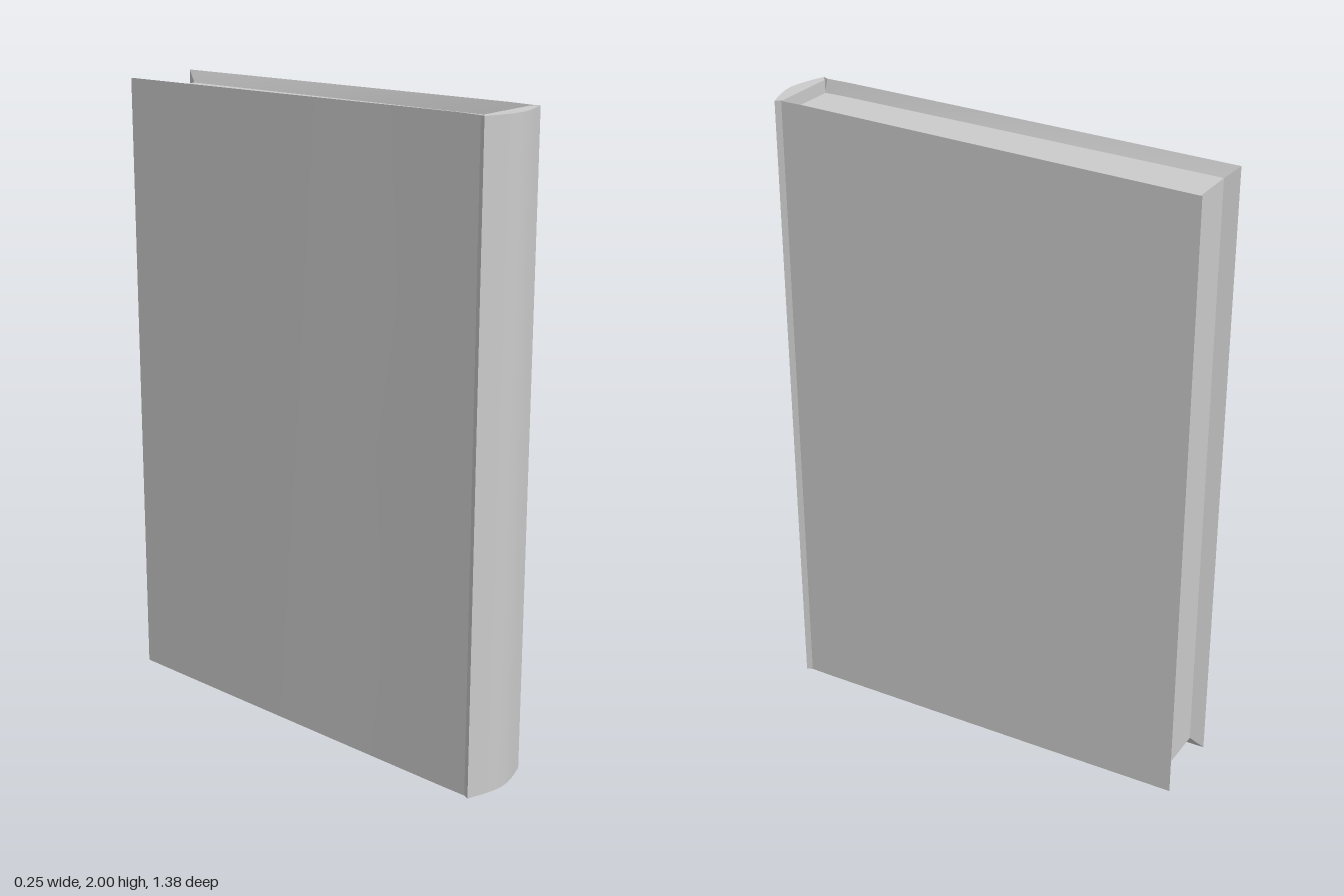
import * as THREE from 'three';
import { toCreasedNormals } from 'three/addons/utils/BufferGeometryUtils.js';

// Half outline of the cover seen from above, [x, z]: spine middle to hinge to fore edge
const SPINE = [[0, 0.695], [0.03, 0.692], [0.07, 0.682], [0.1, 0.672], [0.125, 0.663]];
const BOARD = [[0.125, 0.663], [0.117, 0.645], [0.117, 0.565], [0.12, 0.2], [0.123, -0.25], [0.125, -0.69]];
const PAGE_X = 0.105, PAGE_FRONT = 0.645, PAGE_BACK = -0.65, BEND = 0.565;

// Half heights, tapering slightly towards the fore edge
const taper = (z, front, back, zEnd) =>
  z >= BEND ? front : THREE.MathUtils.mapLinear(z, BEND, zEnd, front, back);
const coverH = (z) => taper(z, 1, 0.975, -0.69);
const pageH = (z) => taper(z, 0.96, 0.94, PAGE_BACK);

// Builds a mesh from faces of the upper +x quarter, mirrored to all four quarters
function quarterMesh(name, faces, color = 0xcccccc) {
  const pos = [];
  for (const sx of [1, -1]) for (const sy of [1, -1]) {
    for (const f of faces) {
      const p = f.map(([x, y, z]) => new THREE.Vector3(x * sx, 1 + y * sy, z));
      if (sx * sy < 0) p.reverse();
      for (let i = 1; i < p.length - 1; i++) {
        const tri = [p[0], p[i], p[i + 1]];
        if (new THREE.Triangle(...tri).getArea() < 1e-8) continue;
        tri.forEach((v) => pos.push(v.x, v.y, v.z));
      }
    }
  }
  const geo = new THREE.BufferGeometry();
  geo.setAttribute('position', new THREE.Float32BufferAttribute(pos, 3));
  const mesh = new THREE.Mesh(toCreasedNormals(geo, 0.35),
    new THREE.MeshStandardMaterial({ color, side: THREE.DoubleSide }));
  mesh.name = name;
  return mesh;
}

// Calls make(a, b) for each pair of neighbouring outline points
const segments = (pts, make) => pts.slice(1).map((b, i) => make(pts[i], b));

// Upright outer wall between two outline points
const wall = ([ax, az], [bx, bz]) =>
  [[ax, 0, az], [bx, 0, bz], [bx, coverH(bz), bz], [ax, coverH(az), az]];

export function createModel() {
  const book = new THREE.Group();
  book.name = 'book';

  // Rounded spine with its flat end caps and the inner step down to the pages
  const k = PAGE_X / 0.125;
  const spine = segments(SPINE, wall);
  spine.push(...segments(SPINE, ([ax, az], [bx, bz]) =>
    [[ax, 1, az], [bx, 1, bz], [bx * k, 1, PAGE_FRONT], [ax * k, 1, PAGE_FRONT]]));
  const lip = pageH(PAGE_FRONT);
  spine.push([[PAGE_X, lip, PAGE_FRONT], [0, lip, PAGE_FRONT], [0, 1, PAGE_FRONT], [PAGE_X, 1, PAGE_FRONT]]);
  spine.push([[0.125, 1, 0.663], [PAGE_X, lip, PAGE_FRONT], [PAGE_X, 1, PAGE_FRONT]]);
  book.add(quarterMesh('spine', spine));

  // Outer faces of the two cover boards
  book.add(quarterMesh('coverBoards', segments(BOARD, wall)));

  // Bevelled inner margins running from the cover edge down to the pages
  const inner = (z) => {
    const zi = THREE.MathUtils.clamp(z, PAGE_BACK, PAGE_FRONT);
    return [PAGE_X, pageH(zi), zi];
  };
  const margins = segments(BOARD, ([ax, az], [bx, bz]) =>
    [[ax, coverH(az), az], [bx, coverH(bz), bz], inner(bz), inner(az)]);
  margins.push([[0.125, 0, -0.69], [PAGE_X, 0, PAGE_BACK], inner(PAGE_BACK), [0.125, coverH(-0.69), -0.69]]);
  book.add(quarterMesh('coverMargins', margins));

  // Page block: top, bottom and fore edge
  const pages = segments([PAGE_FRONT, BEND, PAGE_BACK], (a, b) =>
    [[0, pageH(a), a], [PAGE_X, pageH(a), a], [PAGE_X, pageH(b), b], [0, pageH(b), b]]);
  const h = pageH(PAGE_BACK);
  pages.push([[PAGE_X, 0, PAGE_BACK], [0, 0, PAGE_BACK], [0, h, PAGE_BACK], [PAGE_X, h, PAGE_BACK]]);
  book.add(quarterMesh('pages', pages));

  return book;
}
